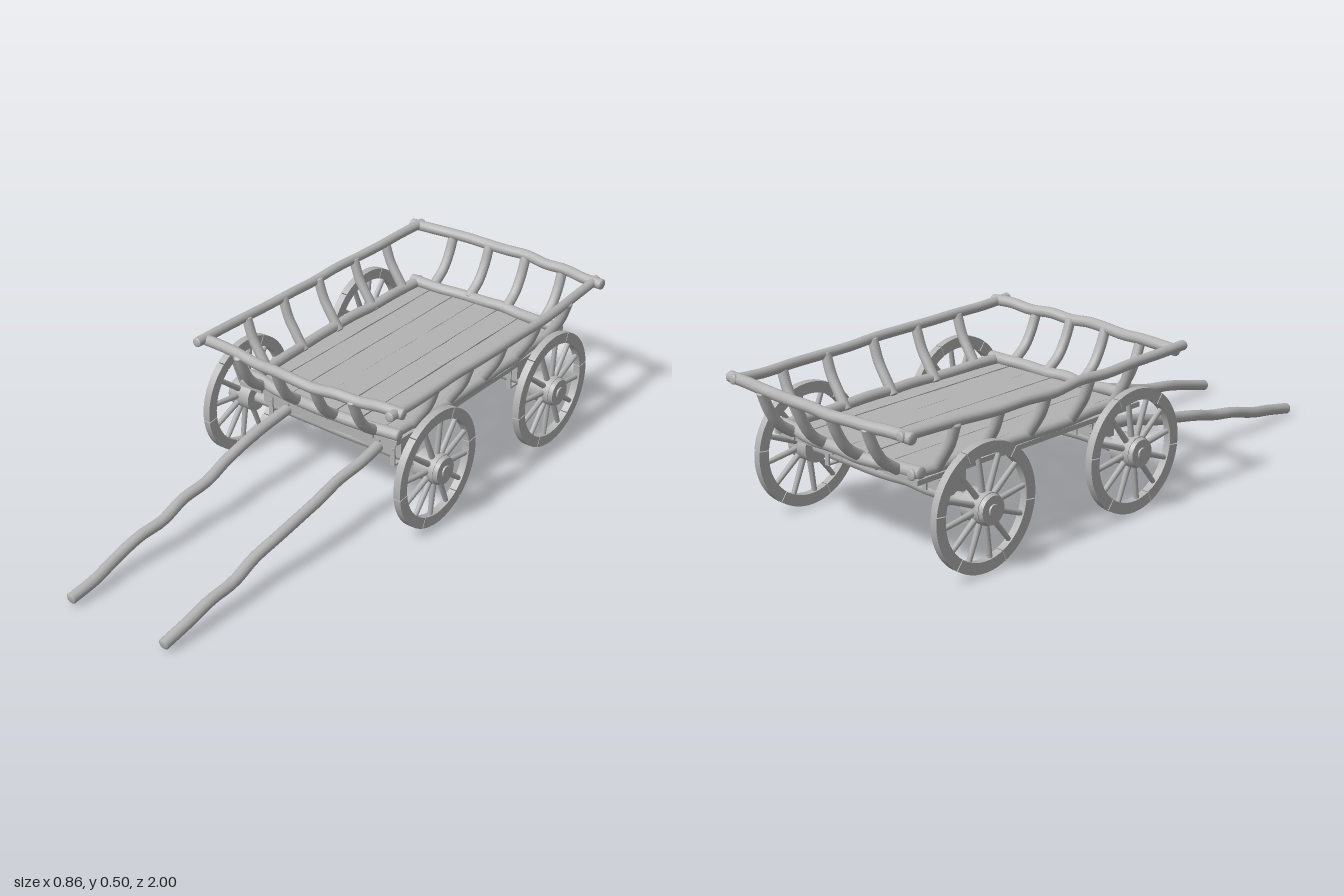
import * as THREE from 'three';
import { mergeGeometries } from 'three/addons/utils/BufferGeometryUtils.js';

let seed = 7;
const rand = () => {
  seed = (seed * 16807) % 2147483647;
  return seed / 2147483647 - 0.5;
};
const V = (x, y, z) => new THREE.Vector3(x, y, z);

export function createModel() {
  const wood = new THREE.MeshStandardMaterial({ color: 0xb3b3b3 });
  wood.name = 'weathered wood';
  const cart = new THREE.Group();
  cart.name = 'cart';

  const add = (parent, name, geometry, x = 0, y = 0, z = 0) => {
    const mesh = new THREE.Mesh(geometry, wood);
    mesh.name = name;
    mesh.position.set(x, y, z);
    parent.add(mesh);
    return mesh;
  };

  // Round pole through the given points, slightly crooked, with closed ends
  const pole = (name, points, radius, wobble = 0) => {
    let curve = new THREE.CatmullRomCurve3(points);
    if (wobble) {
      const pts = curve.getSpacedPoints(10).map((p, i) =>
        i % 10 ? p.add(V(rand() * wobble, rand() * wobble, rand() * wobble)) : p);
      curve = new THREE.CatmullRomCurve3(pts);
    }
    const parts = [new THREE.TubeGeometry(curve, 32, radius, 12)];
    for (const t of [0, 1]) {
      const dir = curve.getTangent(t).multiplyScalar(t ? 1 : -1);
      const cap = new THREE.SphereGeometry(radius, 12, 4, 0, Math.PI * 2, 0, Math.PI / 2);
      cap.scale(1, 0.35, 1);
      cap.applyQuaternion(new THREE.Quaternion().setFromUnitVectors(V(0, 1, 0), dir));
      const end = curve.getPoint(t);
      parts.push(cap.translate(end.x, end.y, end.z));
    }
    return add(cart, name, mergeGeometries(parts), 0, 0, 0);
  };

  // Bed of seven planks with uneven edges
  for (let i = 0; i < 7; i++) {
    const w = 0.045, steps = 12, shape = new THREE.Shape();
    const z0 = -0.865 + rand() * 0.012, z1 = 0.06 + rand() * 0.012;
    const edge = (k, side) => [side * (w - 0.0014 + rand() * 0.003), -(z0 + (z1 - z0) * k / steps)];
    shape.moveTo(...edge(0, -1));
    for (let k = 1; k <= steps; k++) shape.lineTo(...edge(k, -1));
    for (let k = steps; k >= 0; k--) shape.lineTo(...edge(k, 1));
    const plank = new THREE.ExtrudeGeometry(shape, { depth: 0.016, bevelEnabled: false });
    add(cart, 'bedPlank', plank.rotateX(-Math.PI / 2), (i - 3) * 0.09, 0.298 + rand() * 0.002, 0);
  }

  // Lower frame rails
  pole('lowerFrontRail', [V(-0.305, 0.333, 0.04), V(-0.1, 0.326, 0.058), V(0.1, 0.326, 0.06), V(0.31, 0.33, 0.045)], 0.019, 0.007);
  pole('lowerRearRail', [V(-0.305, 0.33, -0.85), V(0, 0.325, -0.87), V(0.305, 0.33, -0.85)], 0.019, 0.007);
  for (const s of [-1, 1])
    pole('lowerSideRail', [V(s * 0.285, 0.325, 0.05), V(s * 0.3, 0.325, -0.4), V(s * 0.285, 0.325, -0.87)], 0.018, 0.007);

  // Upper rails
  pole('upperFrontRail', [V(-0.388, 0.477, 0.148), V(0, 0.475, 0.178), V(0.4, 0.482, 0.148)], 0.018, 0.008);
  pole('upperRearRail', [V(-0.388, 0.48, -0.957), V(0, 0.482, -0.982), V(0.392, 0.482, -0.957)], 0.018, 0.008);
  for (const s of [-1, 1])
    pole('upperSideRail', [V(s * 0.36, 0.484, -0.975), V(s * 0.374, 0.474, -0.65), V(s * 0.379, 0.478, -0.2),
      V(s * 0.38, 0.484, 0.19)], 0.016, 0.008);

  // Curved stakes joining lower and upper rails
  for (const z of [-0.78, -0.605, -0.412, -0.228, -0.046])
    for (const s of [-1, 1])
      pole('sideStake', [V(s * 0.287, 0.315, z), V(s * 0.318, 0.36, z), V(s * 0.35, 0.41, z),
        V(s * 0.374, 0.475, z)], 0.017);
  for (const x of [-0.225, -0.075, 0.075, 0.225]) {
    pole('frontStake', [V(x, 0.325, 0.058), V(x, 0.365, 0.112), V(x, 0.415, 0.145), V(x, 0.475, 0.17)], 0.017);
    pole('rearStake', [V(x, 0.325, -0.865), V(x, 0.365, -0.92), V(x, 0.415, -0.953), V(x, 0.475, -0.977)], 0.017);
  }

  // Pulling shafts
  for (const x of [-0.18, 0.188])
    pole('shaft', [V(x, 0.225, -0.02), V(x, 0.2, 0.15), V(x, 0.115, 0.56), V(x, 0.027, 0.992)], 0.0185, 0.014);

  // Wheel facing +z, hub on the origin
  const makeWheel = (turn) => {
    const wheel = new THREE.Group();
    wheel.name = 'wheel';
    const arc = Math.PI / 3;
    for (let i = 0; i < 6; i++) {
      const a = i * arc + turn + 0.008, b = (i + 1) * arc + turn - 0.008;
      const felloe = new THREE.Shape();
      felloe.absarc(0, 0, 0.198, a, b, false);
      felloe.absarc(0, 0, 0.162, b, a, true);
      add(wheel, 'rimSegment', new THREE.ExtrudeGeometry(felloe,
        { depth: 0.025, bevelEnabled: false, curveSegments: 10 }), 0, 0, -0.0125);
    }
    for (let i = 0; i < 12; i++) {
      const spoke = new THREE.CylinderGeometry(0.008, 0.01, 0.13, 8).translate(0, 0.105, 0);
      add(wheel, 'spoke', spoke).rotation.z = turn + (i + 0.5) * Math.PI / 6;
    }
    add(wheel, 'hub', new THREE.CylinderGeometry(0.05, 0.05, 0.074, 24).rotateX(Math.PI / 2), 0, 0, -0.012);
    add(wheel, 'hubCollar', new THREE.CylinderGeometry(0.044, 0.048, 0.014, 24).rotateX(Math.PI / 2), 0, 0, 0.032);
    add(wheel, 'axleEnd', new THREE.CylinderGeometry(0.018, 0.02, 0.006, 16).rotateX(Math.PI / 2), 0, 0, 0.041);
    return wheel;
  };

  // Axles with bolster, straps and wheels
  for (const z of [-0.046, -0.683]) {
    pole('axle', [V(-0.38, 0.202, z), V(0, 0.2, z), V(0.38, 0.202, z)], 0.02, 0.006);

    const bolster = new THREE.BoxGeometry(0.555, 0.084, 0.07, 14, 1, 1);
    const p = bolster.attributes.position;
    for (let i = 0; i < p.count; i++) // worn lower edge
      if (p.getY(i) < 0) p.setY(i, p.getY(i) + 0.004 * Math.sin(p.getX(i) * 23));
    bolster.computeVertexNormals();
    add(cart, 'bolster', bolster, 0, 0.257, z);

    for (const x of [-0.246, -0.18, 0.188, 0.248]) {
      const low = Math.abs(x) > 0.2 ? 0.178 : 0.212;
      for (const s of [-1, 1]) {
        add(cart, 'strap', new THREE.BoxGeometry(0.017, 0.298 - low, 0.006), x, (0.298 + low) / 2, z + s * 0.037);
        for (const y of [0.235, 0.26, 0.285])
          add(cart, 'rivet', new THREE.SphereGeometry(0.004, 8, 6), x, y, z + s * 0.04);
      }
      if (low < 0.2) add(cart, 'strapBase', new THREE.BoxGeometry(0.017, 0.006, 0.08), x, low, z);
    }

    for (const s of [-1, 1]) {
      const wheel = makeWheel(s * 0.13);
      wheel.position.set(s * 0.384, 0.202, z);
      wheel.rotation.y = s * Math.PI / 2;
      cart.add(wheel);
    }
  }
  return cart;
}
